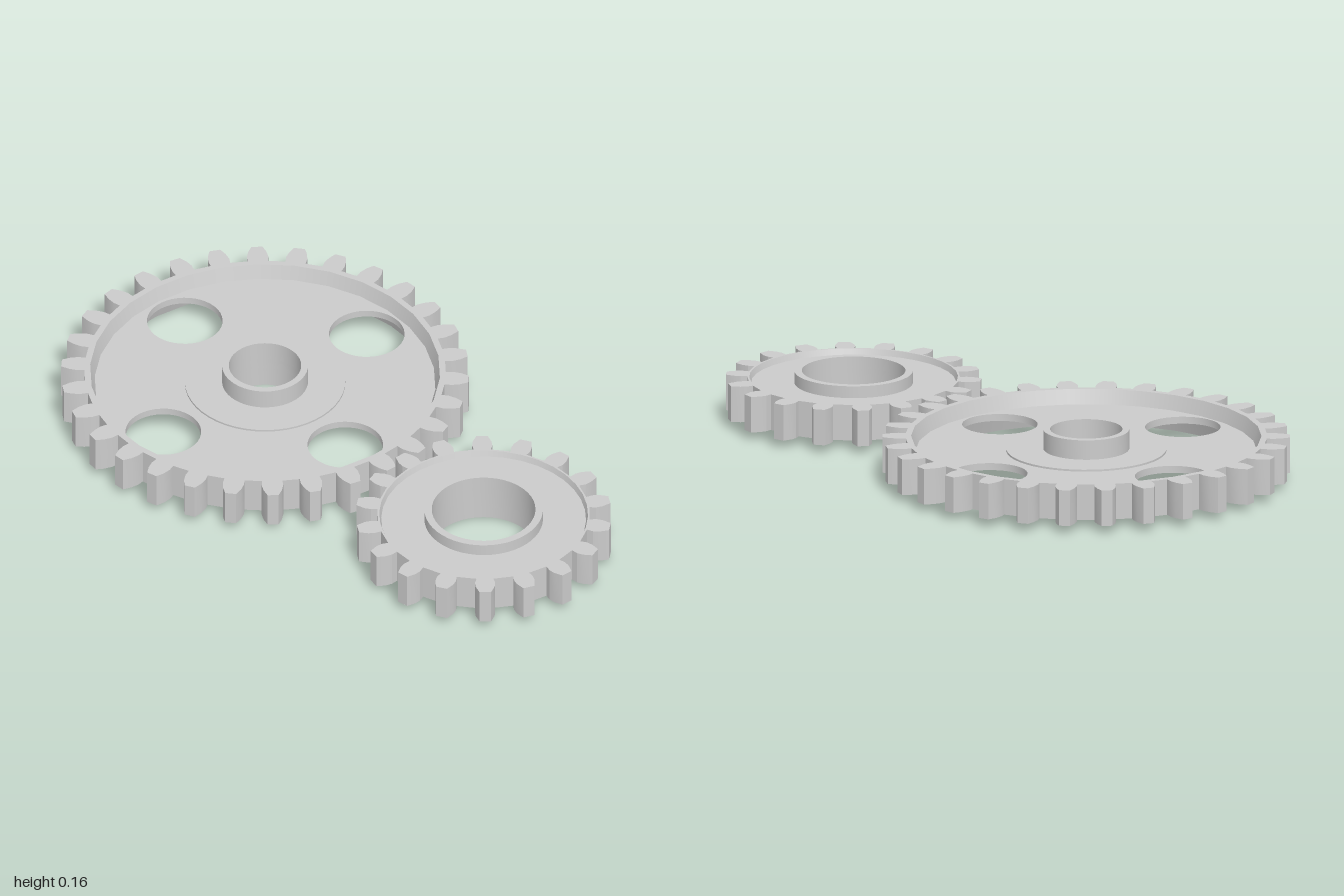
import * as THREE from 'three';
import { toCreasedNormals } from 'three/addons/utils/BufferGeometryUtils.js';

const material = new THREE.MeshStandardMaterial({ color: 0xcccccc, side: THREE.DoubleSide });
const RIM_Y = [0.025, 0.138];
const MID_Y = 0.0815;

// Regular polygon points standing in for a circle
function circle(r, n = 48, cx = 0, cy = 0) {
  return Array.from({ length: n }, (_, i) => {
    const a = (i / n) * Math.PI * 2 + Math.PI / 2;
    return new THREE.Vector2(cx + r * Math.cos(a), cy + r * Math.sin(a));
  });
}

// Upright plate between two heights, with holes
function plate(name, outline, holes, y0, y1) {
  const shape = new THREE.Shape(outline);
  shape.holes = holes.map((h) => new THREE.Path(h));
  const geo = new THREE.ExtrudeGeometry(shape, { depth: y1 - y0, bevelEnabled: false });
  geo.rotateX(-Math.PI / 2).translate(0, y0, 0);
  const mesh = new THREE.Mesh(toCreasedNormals(geo, 0.3), material);
  mesh.name = name;
  return mesh;
}

// Gear outline: each tooth is a list of [radius, half width] from root to tip
function toothOutline(teeth, start, profile) {
  const points = [];
  for (let i = 0; i < teeth; i++) {
    const a = start + (i / teeth) * Math.PI * 2;
    const add = (r, w) => points.push(new THREE.Vector2(
      r * Math.cos(a) - w * Math.sin(a), r * Math.sin(a) + w * Math.cos(a)));
    profile.forEach(([r, w]) => add(r, -w));
    [...profile].reverse().forEach(([r, w]) => add(r, w));
  }
  return points;
}

function createGear(g) {
  const gear = new THREE.Group();
  gear.name = g.name;

  // Toothed rim
  gear.add(plate('toothedRim', toothOutline(g.teeth, g.start, g.tooth),
    [circle(g.lip[0], g.lipSides)], ...RIM_Y));

  // Sloping lips down to the web, above and below
  for (const side of [1, -1]) {
    const lip = new THREE.LatheGeometry([
      new THREE.Vector2(g.lip[1], MID_Y + side * g.web),
      new THREE.Vector2(g.lip[0], side > 0 ? RIM_Y[1] : RIM_Y[0]),
    ], g.lipSides);
    const mesh = new THREE.Mesh(lip, material);
    mesh.name = side > 0 ? 'upperLip' : 'lowerLip';
    gear.add(mesh);
  }

  // Web with lightening holes
  const holes = [];
  for (let i = 0; i < g.holes; i++) {
    const a = (i / g.holes) * Math.PI * 2;
    holes.push(circle(0.116, 40, 0.397 * Math.cos(a), 0.397 * Math.sin(a)));
  }
  gear.add(plate('web', circle(g.lip[1] + 0.004, g.lipSides), [circle(g.bore), ...holes],
    MID_Y - g.web, MID_Y + g.web));

  // Raised boss around the hub
  if (g.boss) {
    gear.add(plate('boss', circle(g.boss), [circle(g.bore)], MID_Y - 0.017, MID_Y + 0.017));
  }

  // Hub sleeve
  gear.add(plate('hub', circle(g.hub), [circle(g.bore)], ...g.hubY));
  gear.position.set(g.x, 0, g.z);
  return gear;
}

export function createModel() {
  const model = new THREE.Group();
  model.name = 'gearPair';
  model.add(createGear({
    name: 'largeGear', x: 0, z: -0.375, teeth: 30, start: Math.PI / 2,
    tooth: [[0.553, 0.031], [0.575, 0.033], [0.6, 0.028], [0.625, 0.017]],
    lip: [0.537, 0.523], lipSides: 30, web: 0.011, holes: 4,
    boss: 0.246, hub: 0.132, bore: 0.111, hubY: [0, 0.16],
  }));
  model.add(createGear({
    name: 'smallGear', x: 0.08, z: 0.605, teeth: 18, start: -Math.PI / 2 + 0.043,
    tooth: [[0.325, 0.026], [0.345, 0.031], [0.365, 0.029], [0.392, 0.018]],
    lip: [0.32, 0.314], lipSides: 36, web: 0.038, holes: 0,
    boss: 0, hub: 0.182, bore: 0.159, hubY: [0.004, 0.157],
  }));
  return model;
}
